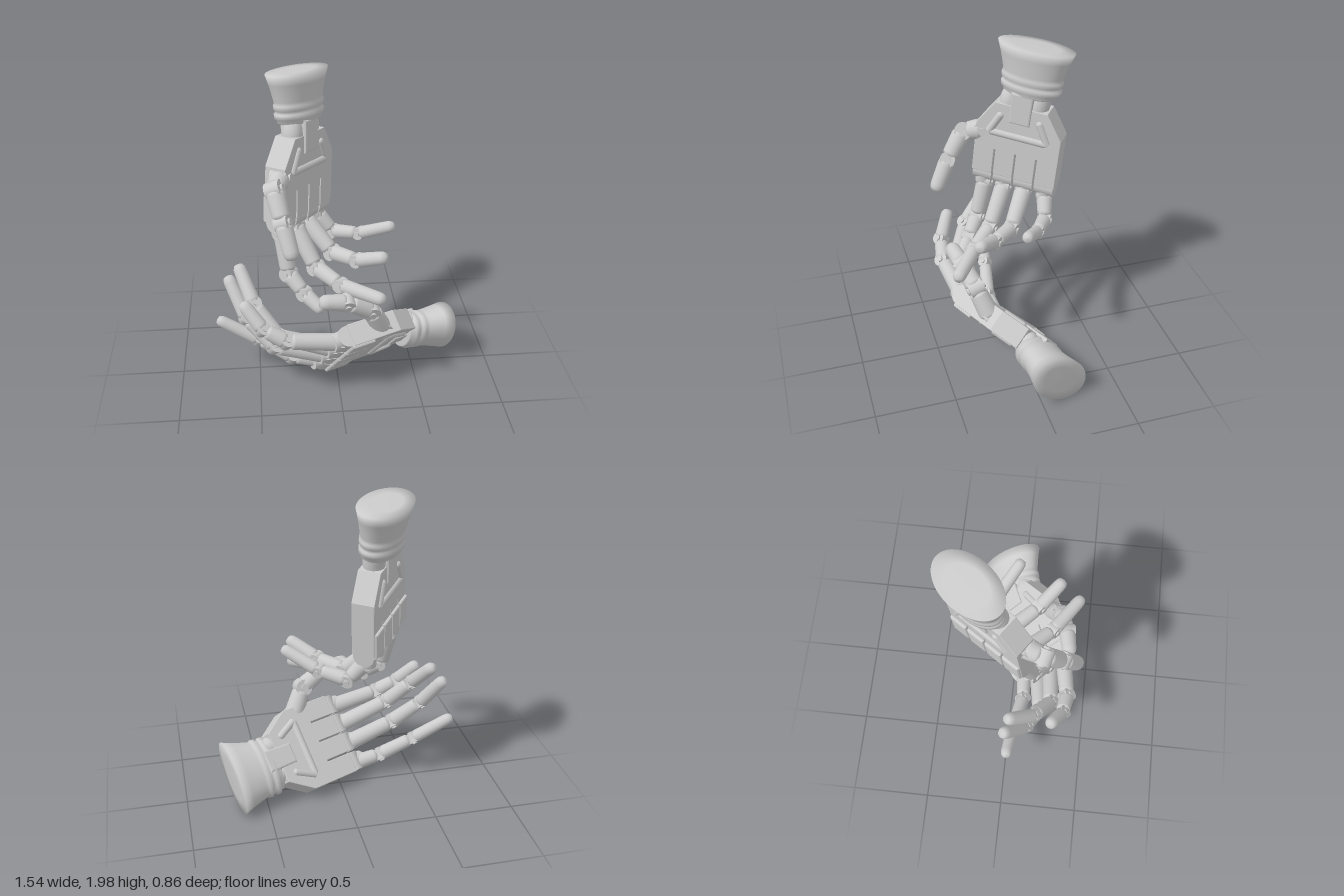
import * as THREE from 'three';

const V = (a) => new THREE.Vector3(...a);
const mat = new THREE.MeshStandardMaterial({ color: 0xcccccc });

function add(parent, geo, name, pos = [0, 0, 0], rot = [0, 0, 0]) {
  const m = new THREE.Mesh(geo, mat);
  m.name = name;
  m.position.set(...pos);
  m.rotation.set(...rot);
  parent.add(m);
  return m;
}

// Right-handed frame: y runs along v, x is u made square to it
function orient(obj, u, v) {
  const y = v.clone().normalize();
  const x = u.clone().addScaledVector(y, -u.dot(y)).normalize();
  obj.quaternion.setFromRotationMatrix(new THREE.Matrix4().makeBasis(x, y, x.clone().cross(y)));
}

const lathe = (pts, n = 20) => new THREE.LatheGeometry(pts.map((p) => new THREE.Vector2(...p)), n);

// Jointed digit through the given points, with hinge pins along u
function digit(parent, name, points, r, u) {
  const g = new THREE.Group();
  g.name = name;
  const P = points.map(V);
  for (let i = 0; i < P.length - 1; i++) {
    const dir = P[i + 1].clone().sub(P[i]);
    const L = dir.length();
    const a = r * (1 - 0.09 * i), b = a * 0.9;
    const last = i === P.length - 2;
    const end = last
      ? [[b, L - 0.05], [b * 0.92, L - 0.025], [b * 0.65, L - 0.006], [0, L]]
      : [[b, L - 0.045], [b * 0.97, L - 0.035], [b * 0.72, L - 0.02], [0, L - 0.015]];
    const seg = add(g, lathe([[0, 0], [a * 0.72, 0.005], [a * 0.97, 0.02], [a, 0.035], ...end]),
      last ? 'fingertip' : 'fingerSegment', points[i]);
    orient(seg, u, dir);
    // hinge knuckle with a smaller pin through it
    const hinge = new THREE.Group();
    hinge.name = 'hinge';
    hinge.position.copy(P[i]);
    orient(hinge, u, dir);
    add(hinge, new THREE.CylinderGeometry(a * 0.92, a * 0.92, a * 1.6, 20), 'hingeBarrel', [0, 0, 0], [0, 0, Math.PI / 2]);
    add(hinge, new THREE.CylinderGeometry(a * 0.4, a * 0.4, a * 2.05, 14), 'hingePin', [0, 0, 0], [0, 0, Math.PI / 2]);
    g.add(hinge);
  }
  parent.add(g);
}

// Chamfered plate with bevelled edges, centred on its thickness
function plate(points, depth, bevel) {
  const shape = new THREE.Shape(points.map((p) => new THREE.Vector2(...p)));
  const geo = new THREE.ExtrudeGeometry(shape, {
    depth: depth - 2 * bevel, bevelEnabled: true, bevelSize: bevel, bevelThickness: bevel,
    bevelOffset: -bevel, bevelSegments: 2,
  });
  return geo.translate(0, 0, bevel - depth / 2);
}

// Palm in its own frame: x across, y toward the fingers, +z the palm side
function palm() {
  const g = new THREE.Group();
  g.name = 'palm';
  const pitch = 0.135, W = 0.27;
  // core with three slits running in from the finger end
  const outline = [[-0.165, -0.26], [0.165, -0.26], [W, -0.1], [W, 0.235]];
  for (const x of [pitch, 0, -pitch]) outline.push([x + 0.005, 0.235], [x + 0.005, 0.06], [x - 0.005, 0.06], [x - 0.005, 0.235]);
  outline.push([-W, 0.235], [-W, -0.1]);
  add(g, plate(outline, 0.14, 0.004), 'palmCore');
  for (let i = 0; i < 4; i++) {
    const x = (i - 1.5) * pitch, w = 0.062;
    // metacarpal blocks on the back of the hand
    add(g, plate([[x - w, 0.09], [x + w, 0.09], [x + w, 0.25], [x - w, 0.25]], 0.06, 0.012), 'metacarpalBlock', [0, 0, -0.058]);
    add(g, new THREE.CylinderGeometry(0.066, 0.066, 0.122, 24), 'knuckle', [x, 0.25, 0], [0, 0, Math.PI / 2]);
    add(g, new THREE.CylinderGeometry(0.055, 0.06, 0.09, 20), 'fingerSocket', [x, 0.295, 0]);
  }
  for (const s of [-1, 1]) {
    // raised U-shaped ridge on each face
    const path = new THREE.CurvePath();
    const c = [[-0.125, -0.18], [-0.185, -0.06], [0.185, -0.06], [0.125, -0.18]].map((p) => V([...p, s * 0.063]));
    for (let i = 0; i < 3; i++) path.add(new THREE.LineCurve3(c[i], c[i + 1]));
    add(g, new THREE.TubeGeometry(path, 48, 0.024, 10), 'faceRidge');
    for (const p of [c[0], c[3]]) add(g, new THREE.SphereGeometry(0.024, 12, 8), 'ridgeEnd', p.toArray());
    // wrist strap
    add(g, plate([[-0.07, -0.35], [0.07, -0.35], [0.065, -0.15], [-0.065, -0.15]], 0.045, 0.01), 'wristStrap', [0, 0, s * 0.06]);
  }
  return g;
}

// Flared oval cuff with two collars and a closed, softly domed end
function cuff(from, to, u) {
  const L = V(to).distanceTo(V(from));
  const profile = [[0, 0], [0.66, 0], [0.72, 0.03], [0.72, 0.1], [0.8, 0.12], [0.8, 0.2], [0.75, 0.22], [0.75, 0.28],
    [0.81, 0.3], [0.81, 0.38], [0.77, 0.4], [0.79, 0.46], [0.84, 0.62], [0.91, 0.8], [1, 1],
    [0.6, 1.01], [0, 1.015]];
  const m = add(new THREE.Group(), lathe(profile, 48), 'wristCuff', from);
  orient(m, V(u), V(to).sub(V(from)));
  m.scale.set(0.24, L, 0.145);
  return m;
}

function hand(name, o) {
  const g = new THREE.Group();
  g.name = name;
  const u = V(o.u), v = V(o.v);
  const p = palm();
  p.position.set(...o.center);
  orient(p, u, v);
  g.add(p);
  g.add(cuff(o.cuff[0], o.cuff[1], o.cuffAcross));
  // twin curved wrist tendons between palm and cuff
  p.updateMatrix();
  const axis = V(o.cuff[1]).sub(V(o.cuff[0])).normalize();
  const across = V(o.cuffAcross).normalize();
  for (const s of [-1, 1]) {
    const pts = [V([s * 0.08, -0.17, 0]).applyMatrix4(p.matrix), V([s * 0.09, -0.27, 0]).applyMatrix4(p.matrix),
      V(o.cuff[0]).addScaledVector(across, s * 0.08).addScaledVector(axis, 0.03)];
    add(g, new THREE.TubeGeometry(new THREE.CatmullRomCurve3(pts), 20, 0.065, 16), 'wristTendon');
  }
  ['indexFinger', 'middleFinger', 'ringFinger', 'littleFinger'].forEach((n, i) =>
    digit(g, n, o.fingers[i], i === 3 ? 0.05 : 0.055, u));
  digit(g, 'thumb', o.thumb, 0.064, V(o.thumbPin));
  return g;
}

export function createModel() {
  const model = new THREE.Group();
  model.name = 'pairOfMechanicalHands';
  model.add(hand('upperHand', {
    center: [-0.21, 1.36, -0.12], u: [-0.57, 0.12, 0.81], v: [-0.04, -0.99, 0.1],
    cuff: [[-0.2, 1.68, -0.18], [-0.21, 1.975, -0.22]], cuffAcross: [-0.65, 0.1, 0.76],
    fingers: [
      [[-0.33, 1.06, 0.07], [-0.3, 0.81, 0.14], [-0.21, 0.71, 0.22], [-0.1, 0.63, 0.31]],
      [[-0.25, 1.05, -0.03], [-0.13, 0.82, 0.1], [0.01, 0.77, 0.24], [0.26, 0.75, 0.41]],
      [[-0.18, 1.04, -0.14], [-0.02, 0.86, -0.01], [0.12, 0.88, 0.14], [0.28, 0.97, 0.28]],
      [[-0.1, 1.02, -0.25], [0.0, 0.9, -0.22], [0.16, 0.93, -0.12], [0.36, 1.04, 0.01]],
    ],
    thumb: [[-0.33, 1.42, 0.08], [-0.37, 1.4, 0.2], [-0.33, 1.24, 0.31], [-0.28, 1.05, 0.41]],
    thumbPin: [0.85, 0.1, 0.4],
  }));
  model.add(hand('lowerHand', {
    center: [0.2, 0.27, 0.08], u: [-0.28, -0.75, -0.6], v: [-0.9, 0, 0.42],
    cuff: [[0.43, 0.24, -0.02], [0.71, 0.22, -0.1]], cuffAcross: [-0.1, -0.7, -0.7],
    fingers: [
      [[0.0, 0.41, 0.32], [-0.33, 0.47, 0.37], [-0.47, 0.55, 0.35], [-0.59, 0.7, 0.27]],
      [[-0.04, 0.31, 0.24], [-0.38, 0.44, 0.27], [-0.52, 0.62, 0.17], [-0.61, 0.81, 0.0]],
      [[-0.08, 0.21, 0.16], [-0.4, 0.32, 0.2], [-0.57, 0.49, 0.12], [-0.68, 0.72, -0.02]],
      [[-0.11, 0.11, 0.07], [-0.29, 0.15, 0.08], [-0.5, 0.27, 0.04], [-0.76, 0.42, 0.01]],
    ],
    thumb: [[0.27, 0.43, 0.21], [0.19, 0.61, 0.28], [0.04, 0.7, 0.33], [-0.13, 0.73, 0.36]],
    thumbPin: [0.3, -0.4, 0.85],
  }));
  return model;
}
